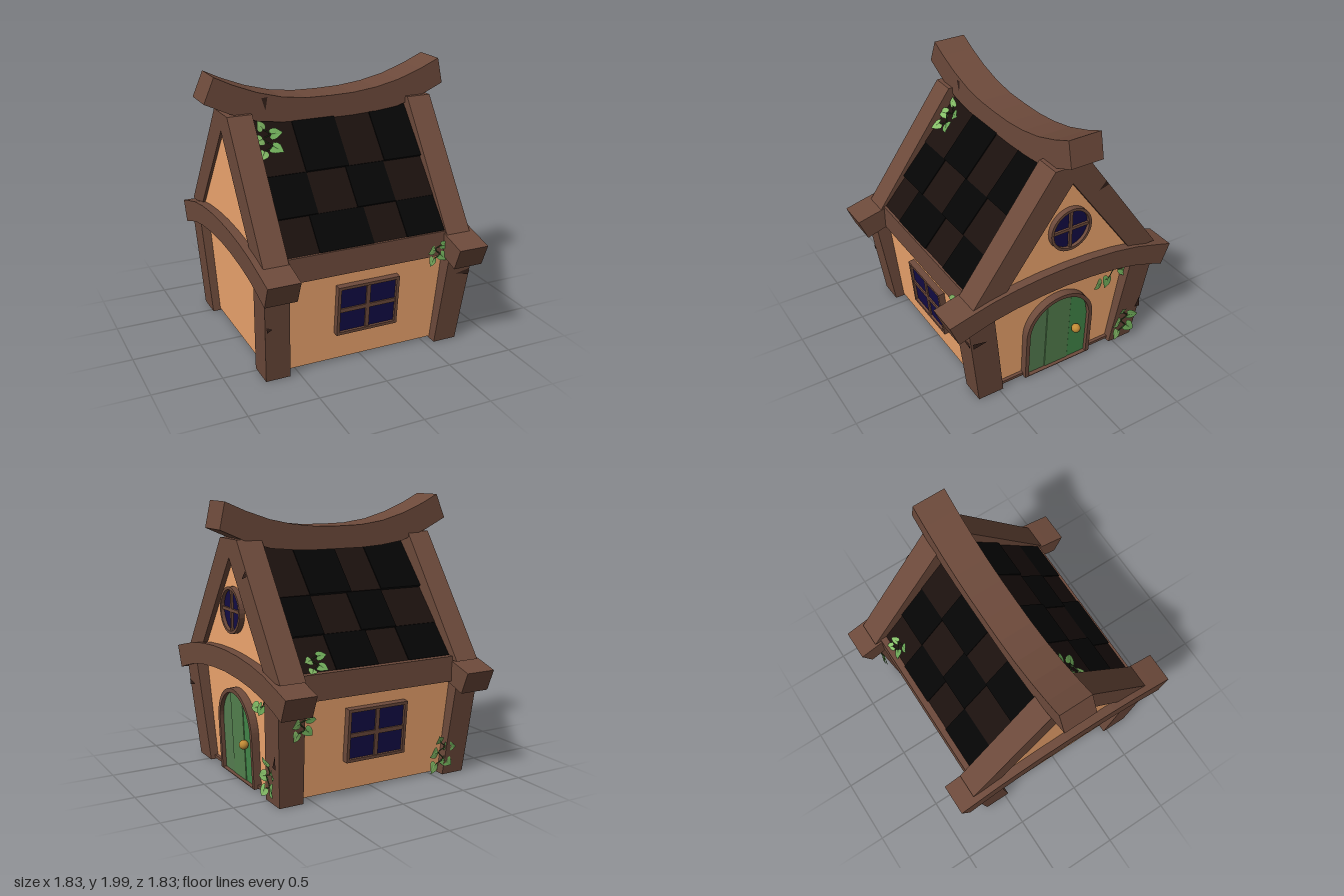
import * as THREE from 'three';

const WOOD = 0x6d4a3b, DARK = 0x33201a, WALL = 0xf2a870, NAVY = 0x120c46;
const RIDGE_Z = -0.03, ROOF_TILT = -Math.atan(1 / 1.25);

const material = (color) => new THREE.MeshStandardMaterial({ color, side: THREE.DoubleSide });

function add(parent, name, geometry, color) {
  const mesh = new THREE.Mesh(geometry, material(color));
  mesh.name = name;
  parent.add(mesh);
  return mesh;
}

function addGroup(parent, name) {
  const group = new THREE.Group();
  group.name = name;
  parent.add(group);
  return group;
}

const box = (w, h, d, x = 0, y = 0, z = 0) => new THREE.BoxGeometry(w, h, d).translate(x, y, z);
const polygon = (points) => new THREE.Shape(points.map(([x, y]) => new THREE.Vector2(x, y)));

// Box whose bottom and top rectangles [x0, x1, z0, z1] differ
function tapered(y0, y1, bottom, top) {
  const g = new THREE.BoxGeometry(1, 1, 1), p = g.attributes.position;
  for (let i = 0; i < p.count; i++) {
    const r = p.getY(i) > 0 ? top : bottom;
    p.setXYZ(i, p.getX(i) > 0 ? r[1] : r[0], p.getY(i) > 0 ? y1 : y0, p.getZ(i) > 0 ? r[3] : r[2]);
  }
  g.computeVertexNormals();
  return g;
}

// Shape drawn in (z, y), extruded from x0 to x1
function extrudeX(shape, x0, x1, curveSegments = 8) {
  return new THREE.ExtrudeGeometry(shape, { depth: x1 - x0, bevelEnabled: false, curveSegments })
    .rotateY(-Math.PI / 2).translate(x1, 0, 0);
}

// Curved beam outline: upper curve one way, lower curve back
function beamShape(upper, lower) {
  const curve = (pts) => new THREE.SplineCurve(pts.map(([x, y]) => new THREE.Vector2(x, y))).getPoints(10);
  return new THREE.Shape([...curve(upper), ...curve(lower)]);
}

// Door outline: straight sides with a round head
function archShape(radius, y0, yc, Type = THREE.Shape) {
  const s = new Type();
  s.moveTo(-radius, y0);
  s.lineTo(radius, y0);
  s.lineTo(radius, yc);
  s.absarc(0, yc, radius, 0, Math.PI, false);
  s.lineTo(-radius, y0);
  return s;
}

// Four-pane window facing +z
function addWindow(parent, x, z) {
  const g = addGroup(parent, 'window');
  add(g, 'windowGlass', box(0.44, 0.35, 0.04), NAVY);
  for (const s of [-1, 0, 1]) {
    const t = s ? 0.022 : 0.03, d = s ? 0.075 : 0.06;
    add(g, 'windowUpright', box(t, 0.38, d, s * 0.224), WOOD);
    add(g, 'windowRail', box(0.47, t, d, 0, s * 0.179), WOOD);
  }
  g.position.set(x, 0.435, z);
  g.rotation.x = 0.09;
}

// Three rows of checkered tiles, laid up the slope
function addRoofTiles(parent, columns) {
  const g = addGroup(parent, 'roofTiles');
  const rows = [0, 0.27, 0.575, 0.98];
  columns.forEach((inner, r) => {
    const xs = [-0.61, ...inner, 0.61];
    for (let c = 0; c < 4; c++) {
      const black = (r + c) % 2 === 1;
      const h = rows[r + 1] - rows[r] + 0.02;
      const tile = add(g, 'roofTile', box(xs[c + 1] - xs[c] + 0.004, h, 0.05), black ? 0x050505 : 0x1b110e);
      tile.position.set((xs[c] + xs[c + 1]) / 2, rows[r] + h / 2 - 0.01, black ? -0.014 : -0.022);
      tile.rotation.x = -0.04;
    }
  });
  g.position.set(0, 0.9, 0.67);
  g.rotation.x = ROOF_TILT;
}

// Folded ivy leaf, stem end at the origin, tip along +y
function leafHalf(side) {
  const s = new THREE.Shape();
  s.moveTo(0, 0);
  s.bezierCurveTo(0.2, -0.25, 0.6, -0.05, 0.5, 0.3);
  s.bezierCurveTo(0.45, 0.55, 0.2, 0.7, 0, 1);
  s.lineTo(0, 0);
  const g = new THREE.ShapeGeometry(s, 4), p = g.attributes.position;
  for (let i = 0; i < p.count; i++) {
    const x = p.getX(i), y = p.getY(i);
    p.setXYZ(i, x * side, y, 0.25 * Math.sin(y * 2.5) - 0.35 * x);
  }
  g.computeVertexNormals();
  return g;
}

// Ivy sprig facing local +z; leaves are [x, y, size, turn]
function addIvy(parent, position, rotation, leaves) {
  const g = addGroup(parent, 'ivy');
  const path = new THREE.CatmullRomCurve3(leaves.map(([x, y]) => new THREE.Vector3(x * 0.8, y, 0.008)));
  add(g, 'ivyStem', new THREE.TubeGeometry(path, 12, 0.004, 5), 0x3f5a30);
  leaves.forEach(([x, y, size, turn], i) => {
    const leaf = addGroup(g, 'ivyLeaf');
    for (const side of [-1, 1]) add(leaf, 'leafHalf', leafHalf(side), i % 2 ? 0x6ba656 : 0x86bf68);
    leaf.position.set(x, y, 0.012);
    leaf.rotation.set(0.1, 0, turn);
    leaf.scale.setScalar(size);
  });
  g.position.set(...position);
  g.rotation.set(...rotation);
}

export function createModel() {
  const model = new THREE.Group();
  model.name = 'cottage';

  // Walls and gable body
  add(model, 'walls', tapered(0.03, 0.86, [-0.69, 0.69, -0.61, 0.6], [-0.72, 0.72, -0.69, 0.675]), WALL);
  const gable = polygon([[-0.62, 0.83], [0.61, 0.83], [0.62, 0.88], [-0.005, 1.67], [-0.63, 0.88]]);
  add(model, 'gableBody', extrudeX(gable, -0.75, 0.755), WALL);

  // Leaning corner posts
  for (const sx of [-1, 1]) for (const sz of [-1, 1]) {
    const rect = (x0, x1, z0, z1) => [
      ...[sx * x0, sx * x1].sort((a, b) => a - b), ...[sz * z0, sz * z1].sort((a, b) => a - b)];
    const top = rect(0.61, sx > 0 ? 0.805 : 0.788, 0.58, 0.78);
    add(model, 'cornerPost', tapered(0.015, 0.82, rect(0.57, 0.748, 0.47, 0.67), top), WOOD);
  }

  // Gable rafters and arched cross beams at both ends
  const rafters = polygon([[0.76, 0.87], [0.14, 1.73], [-0.13, 1.73], [-0.75, 0.87], [-0.54, 0.87], [0, 1.6], [0.54, 0.87]]);
  const arch = beamShape(
    [[0.915, 0.83], [0.5, 0.925], [0, 0.96], [-0.5, 0.92], [-0.91, 0.81]],
    [[-0.845, 0.655], [-0.5, 0.76], [0, 0.805], [0.5, 0.765], [0.85, 0.67]]);
  for (const [x0, x1] of [[-0.77, -0.59], [0.605, 0.79]])
    add(model, 'gableRafters', extrudeX(rafters, x0, x1).translate(0, 0, RIDGE_Z), WOOD);
  for (const [x0, x1] of [[-0.815, -0.585], [0.595, 0.82]])
    add(model, 'archedBeam', extrudeX(arch, x0, x1), WOOD);

  // Sagging ridge beam
  const ridge = beamShape(
    [[-0.84, 2], [-0.6, 1.89], [-0.3, 1.81], [0, 1.795], [0.3, 1.81], [0.6, 1.875], [0.87, 1.985]],
    [[0.91, 1.8], [0.6, 1.675], [0.3, 1.64], [0, 1.635], [-0.3, 1.64], [-0.6, 1.685], [-0.915, 1.825]]);
  add(model, 'ridgeBeam', new THREE.ExtrudeGeometry(ridge, { depth: 0.247, bevelEnabled: false }).translate(0, 0, -0.167), WOOD);

  // Roof slopes, eave beams and windows; the back is turned half round
  const frontColumns = [[-0.35, 0.05, 0.31], [-0.29, 0.01, 0.3], [-0.29, 0.03, 0.31]];
  const backColumns = [[-0.325, 0, 0.25], [-0.325, -0.03, 0.25], [-0.325, 0, 0.25]];
  for (const back of [false, true]) {
    const side = addGroup(model, back ? 'backSide' : 'frontSide');
    side.rotation.y = back ? Math.PI : 0;
    addRoofTiles(side, back ? backColumns : frontColumns);
    add(side, 'eaveBeam', box(1.24, 0.18, 0.16, 0, 0.81, back ? 0.65 : 0.62), WOOD);
    addWindow(side, back ? -0.01 : 0.017, back ? 0.662 : 0.645);
  }

  // Arched door with frame, planks and knob, leaning with the wall
  const door = addGroup(model, 'door');
  door.rotation.z = -0.039;
  door.position.y = 0.0275;
  const frame = archShape(0.282, 0.02, 0.395);
  frame.holes.push(archShape(0.252, 0.025, 0.395, THREE.Path));
  add(door, 'doorFrame', extrudeX(frame, 0.66, 0.745, 14), WOOD);
  add(door, 'doorPanel', extrudeX(archShape(0.255, 0.02, 0.395), 0.66, 0.705, 14), 0x48824a);
  const plank = (z0, z1) => {
    const head = (z) => [z, 0.395 + Math.sqrt(Math.max(0, 0.252 ** 2 - z * z))];
    const top = Array.from({ length: 9 }, (_, i) => head(z1 + (z0 - z1) * i / 8));
    return polygon([[z0, 0.025], [z1, 0.025], ...top]);
  };
  [[-0.252, -0.102, 0x438a4b], [-0.098, 0.098, 0x55834f], [0.102, 0.252, 0x578052]].forEach(([z0, z1, color], i) =>
    add(door, 'doorPlank', extrudeX(plank(z0, z1), 0.7, 0.716 + (i % 2) * 0.004), color));
  add(door, 'doorKnob', new THREE.SphereGeometry(0.034, 16, 12).translate(0.745, 0.308, -0.145), 0xc08a35);
  add(model, 'doorStep', box(0.05, 0.022, 1.1, 0.69, 0.036, -0.05), WOOD);

  // Round gable window
  const round = addGroup(model, 'roundWindow');
  round.position.set(0.03, 1.24, -0.035);
  const ring = new THREE.Shape().absarc(0, 0, 0.163, 0, Math.PI * 2);
  ring.holes.push(new THREE.Path().absarc(0, 0, 0.143, 0, Math.PI * 2));
  add(round, 'roundFrame', extrudeX(ring, 0.69, 0.765, 16), WOOD);
  add(round, 'roundGlass', new THREE.CylinderGeometry(0.15, 0.15, 0.05, 32).rotateZ(Math.PI / 2).translate(0.715, 0, 0), NAVY);
  add(round, 'roundUpright', box(0.06, 0.3, 0.022, 0.725), WOOD);
  add(round, 'roundRail', box(0.06, 0.022, 0.3, 0.725), WOOD);

  // Dark wedge-shaped cracks in the timber
  const crack = (x, y, z, ry, length, turn) => {
    const g = new THREE.ShapeGeometry(polygon([[0, -0.022], [length, 0], [0, 0.022]])).rotateZ(turn).rotateY(ry);
    add(model, 'timberCrack', g.translate(x, y, z), DARK);
  };
  crack(0.797, 0.575, 0.735, Math.PI / 2, 0.11, 0);
  crack(0.794, 1.52, -0.31, Math.PI / 2, 0.08, 3.7);
  crack(0.79, 0.3, -0.68, Math.PI / 2, 0.09, 1.4);
  crack(-0.49, 1.83, 0.083, 0, 0.09, -1.5);
  crack(0.78, 0.58, 0.752, 0, 0.11, Math.PI);
  crack(-0.76, 0.44, 0.736, 0, 0.04, 0);

  // Ivy sprigs on roof, eaves, posts and walls
  const bunch = [[-0.04, -0.09, 0.08, 2.6], [0.03, -0.06, 0.085, -2.3], [-0.03, 0, 0.08, 1.9], [0.04, 0.03, 0.08, -1.6], [-0.01, 0.07, 0.07, 0.5]];
  const small = bunch.slice(0, 4).map(([x, y, s, t]) => [x * 0.75, y * 0.75, s * 0.8, t]);
  const trail = [[0.13, 0.04, 0.07, -1.2], [0.07, 0, 0.075, -2.6], [0, 0.03, 0.08, 0.4], [-0.05, -0.03, 0.085, 2.7], [-0.11, -0.05, 0.08, 1.9]];
  addIvy(model, [-0.51, 1.56, 0.155], [ROOF_TILT, 0, 0], bunch);
  addIvy(model, [0.54, 0.78, 0.705], [0, 0, 0], small);
  addIvy(model, [0.735, 0.68, -0.47], [0, Math.PI / 2, 0], trail);
  addIvy(model, [0.772, 0.21, -0.57], [0, Math.PI / 2, -0.04], bunch);
  addIvy(model, [0.47, 0.97, -0.632], [ROOF_TILT, Math.PI, 0, 'YXZ'], small);
  addIvy(model, [0.62, 0.6, -0.75], [0.12, Math.PI, 0, 'YXZ'], small);
  addIvy(model, [-0.54, 0.2, -0.68], [0.1, Math.PI, 0, 'YXZ'], bunch);

  return model;
}
